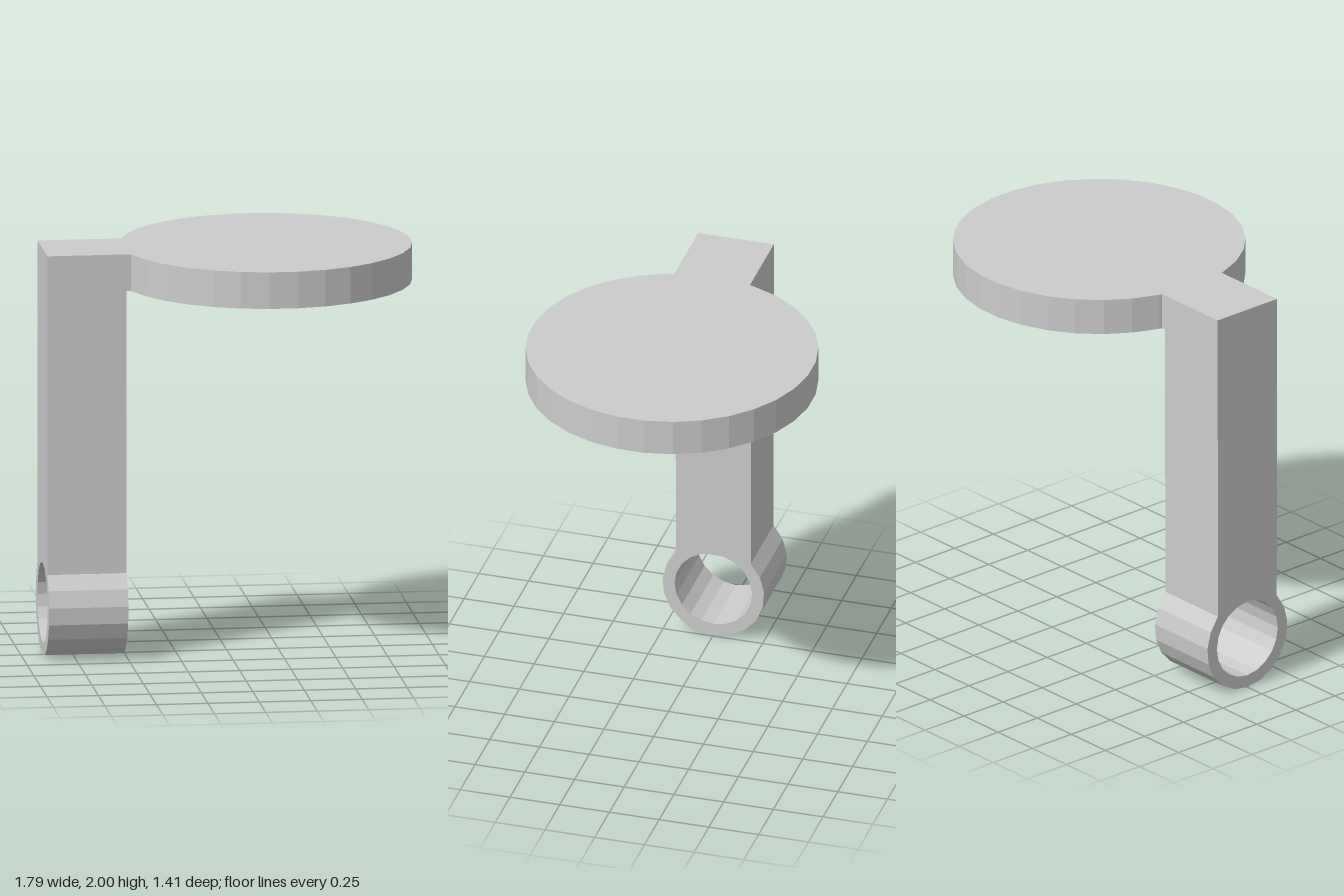
import * as THREE from 'three';

const material = new THREE.MeshStandardMaterial({ color: 0xcccccc, flatShading: true });

// Points on a circle at start + i * step (angles in radians)
function arcPoints(cx, cy, r, start, step, count) {
  return Array.from({ length: count }, (_, i) => {
    const a = start + i * step;
    return new THREE.Vector2(cx + r * Math.cos(a), cy + r * Math.sin(a));
  });
}

function extrude(shape, depth, name) {
  const geometry = new THREE.ExtrudeGeometry(shape, { depth, bevelEnabled: false });
  const mesh = new THREE.Mesh(geometry, material);
  mesh.name = name;
  return mesh;
}

export function createModel() {
  const group = new THREE.Group();
  group.name = 'bracket';
  const half = 0.19;

  // Upright arm ending in a round eye, drawn in side profile and extruded along x
  const eyeY = 0.257, step = (Math.PI * 2) / 19;
  const armShape = new THREE.Shape([
    ...arcPoints(0, eyeY, 0.256, -Math.PI / 2 - 7 * step, step, 15),
    new THREE.Vector2(half, 2),
    new THREE.Vector2(-half, 2),
  ]);
  armShape.holes.push(new THREE.Path(
    arcPoints(0, eyeY + 0.002, 0.195, Math.PI / 2, -Math.PI / 10, 20)));
  const arm = extrude(armShape, 0.385, 'armWithEye');
  arm.geometry.rotateY(Math.PI / 2).translate(-0.895, 0, 0);
  group.add(arm);

  // Round plate with a short neck meeting the arm, drawn in plan and extruded along y
  const seg = Math.PI / 16;
  const plateShape = new THREE.Shape([
    ...arcPoints(0.19, 0, 0.706, -14.5 * seg, seg, 30),
    new THREE.Vector2(-0.489, half),
    new THREE.Vector2(-0.51, half),
    new THREE.Vector2(-0.51, -half),
    new THREE.Vector2(-0.489, -half),
  ]);
  const plate = extrude(plateShape, 0.18, 'roundPlate');
  plate.geometry.rotateX(-Math.PI / 2).translate(0, 1.82, 0);
  group.add(plate);

  return group;
}
